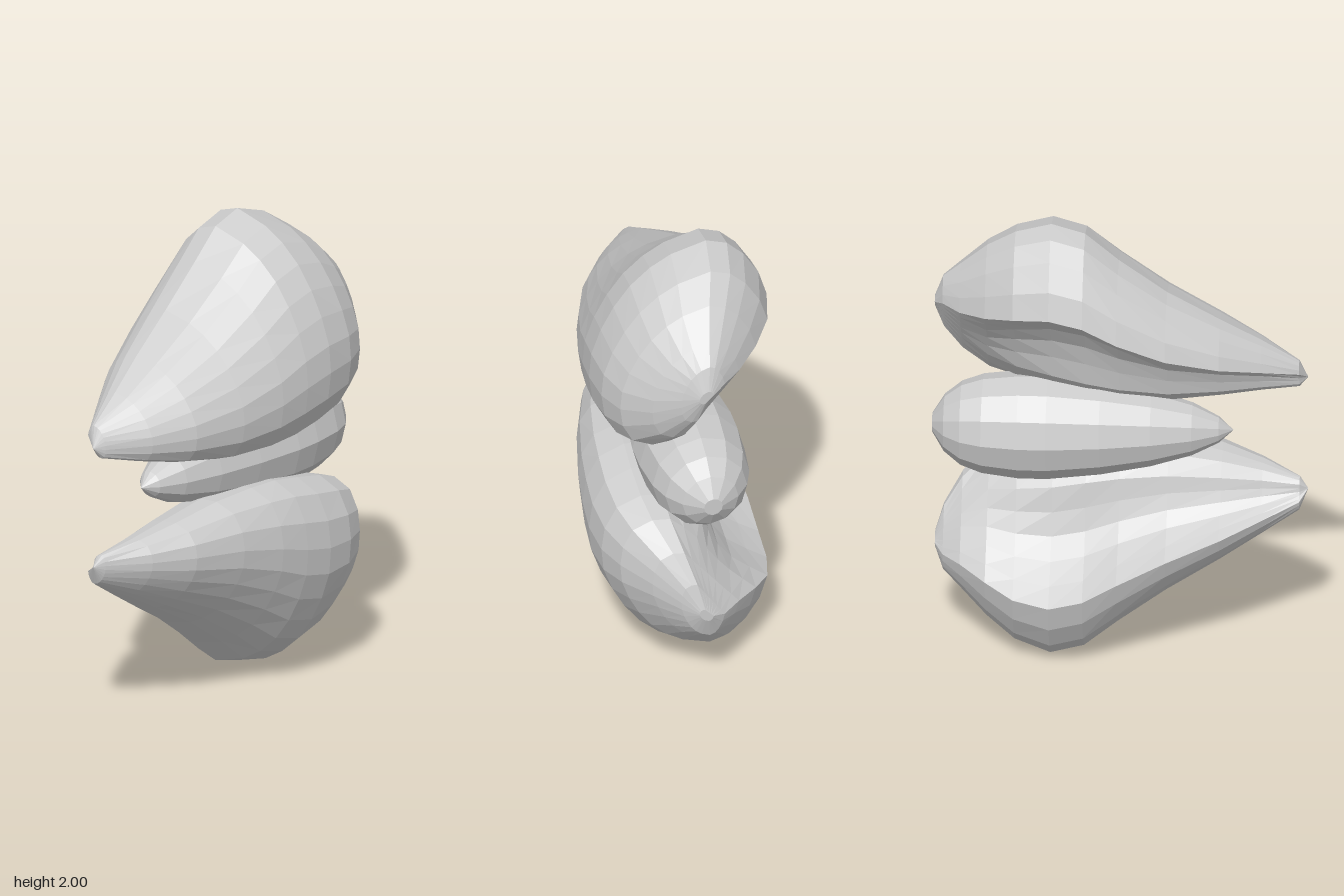
import * as THREE from 'three';

const material = new THREE.MeshStandardMaterial({ color: 0xcccccc, flatShading: true, side: THREE.DoubleSide });

// Bean-shaped section of a shell at its widest, as [z, y]: outer curve, then the hollow back
const outer = [
  [0.1, 1.1], [0.2, 1.09], [0.31, 1.14], [0.365, 1.25], [0.38, 1.37], [0.37, 1.49], [0.33, 1.61],
  [0.275, 1.72], [0.205, 1.82], [0.12, 1.9], [0.03, 1.955], [-0.12, 2.0], [-0.21, 1.97],
  [-0.28, 1.9], [-0.345, 1.79], [-0.38, 1.67],
];
const hollow = [[-0.29, 1.61], [-0.2, 1.54], [-0.14, 1.45], [-0.11, 1.35], [-0.09, 1.24], [0, 1.14]];

// Stations along the shell: x, bottom, top, back z, front z, how far the hollow is filled
const stations = [
  [-0.78, 1.262, 1.264, -0.03, -0.028, 0],
  [-0.745, 1.215, 1.35, -0.085, 0.01, 0],
  [-0.59, 1.175, 1.45, -0.17, 0.135, 0],
  [-0.42, 1.135, 1.555, -0.26, 0.235, 0],
  [-0.2, 1.095, 1.69, -0.333, 0.31, 0],
  [0.0, 1.085, 1.84, -0.37, 0.355, 0],
  [0.14, 1.09, 1.96, -0.38, 0.372, 0],
  [0.28, 1.115, 2.0, -0.38, 0.38, 0.1],
  [0.43, 1.15, 1.95, -0.345, 0.365, 0.35],
  [0.55, 1.195, 1.865, -0.265, 0.315, 0.75],
  [0.66, 1.3, 1.76, -0.165, 0.205, 1],
  [0.735, 1.42, 1.69, -0.085, 0.1, 1],
  [0.77, 1.53, 1.59, -0.03, 0.03, 1],
  [0.77, 1.56, 1.562, -0.001, 0.001, 1],
];

// Section with its hollow moved towards the straight line from lip to foot
function sectionAt(fill) {
  const [lipZ, lipY] = outer[outer.length - 1], [footZ, footY] = outer[0];
  const inner = hollow.map(([z, y], i) => {
    const t = (i + 1) / (hollow.length + 1);
    return [
      THREE.MathUtils.lerp(z, THREE.MathUtils.lerp(lipZ, footZ, t), fill),
      THREE.MathUtils.lerp(y, THREE.MathUtils.lerp(lipY, footY, t), fill),
    ];
  });
  return [...outer, ...inner];
}

// Skin the stations; side = -1 mirrors the shell below y = 1
function makeShell(name, side) {
  const n = outer.length + hollow.length, positions = [], index = [];
  for (const [x, bottom, top, back, front, fill] of stations) {
    for (const [sz, sy] of sectionAt(fill)) {
      const y = bottom + (top - bottom) * (sy - 1.09) / 0.91;
      const z = (front + back) / 2 + (front - back) / 2 * sz / 0.38;
      positions.push(x, 1 + side * (y - 1), z);
    }
  }
  for (let i = 0; i < stations.length - 1; i++) {
    for (let j = 0; j < n; j++) {
      const a = i * n + j, b = i * n + (j + 1) % n, c = a + n, d = b + n;
      if (side > 0) index.push(a, c, b, b, c, d);
      else index.push(a, b, c, b, d, c);
    }
  }
  const geometry = new THREE.BufferGeometry();
  geometry.setAttribute('position', new THREE.Float32BufferAttribute(positions, 3));
  geometry.setIndex(index);
  geometry.computeVertexNormals();
  const mesh = new THREE.Mesh(geometry, material);
  mesh.name = name;
  return mesh;
}

// Spindle body lying along x, with a small flat cap at the blunt end
function makeCore() {
  const profile = [
    [0, -0.47], [0.055, -0.41], [0.11, -0.3], [0.16, -0.13], [0.2, 0.08], [0.225, 0.3],
    [0.225, 0.42], [0.207, 0.57], [0.175, 0.66], [0.12, 0.73], [0.04, 0.78], [0, 0.78],
  ].map(([r, x]) => new THREE.Vector2(r, x));
  const geometry = new THREE.LatheGeometry(profile, 12);
  geometry.rotateZ(-Math.PI / 2);
  const mesh = new THREE.Mesh(geometry, material);
  mesh.name = 'core';
  mesh.position.set(0, 1, -0.025);
  return mesh;
}

export function createModel() {
  const group = new THREE.Group();
  group.name = 'twinShellPod';
  group.add(makeShell('upperShell', 1), makeShell('lowerShell', -1), makeCore());
  return group;
}
